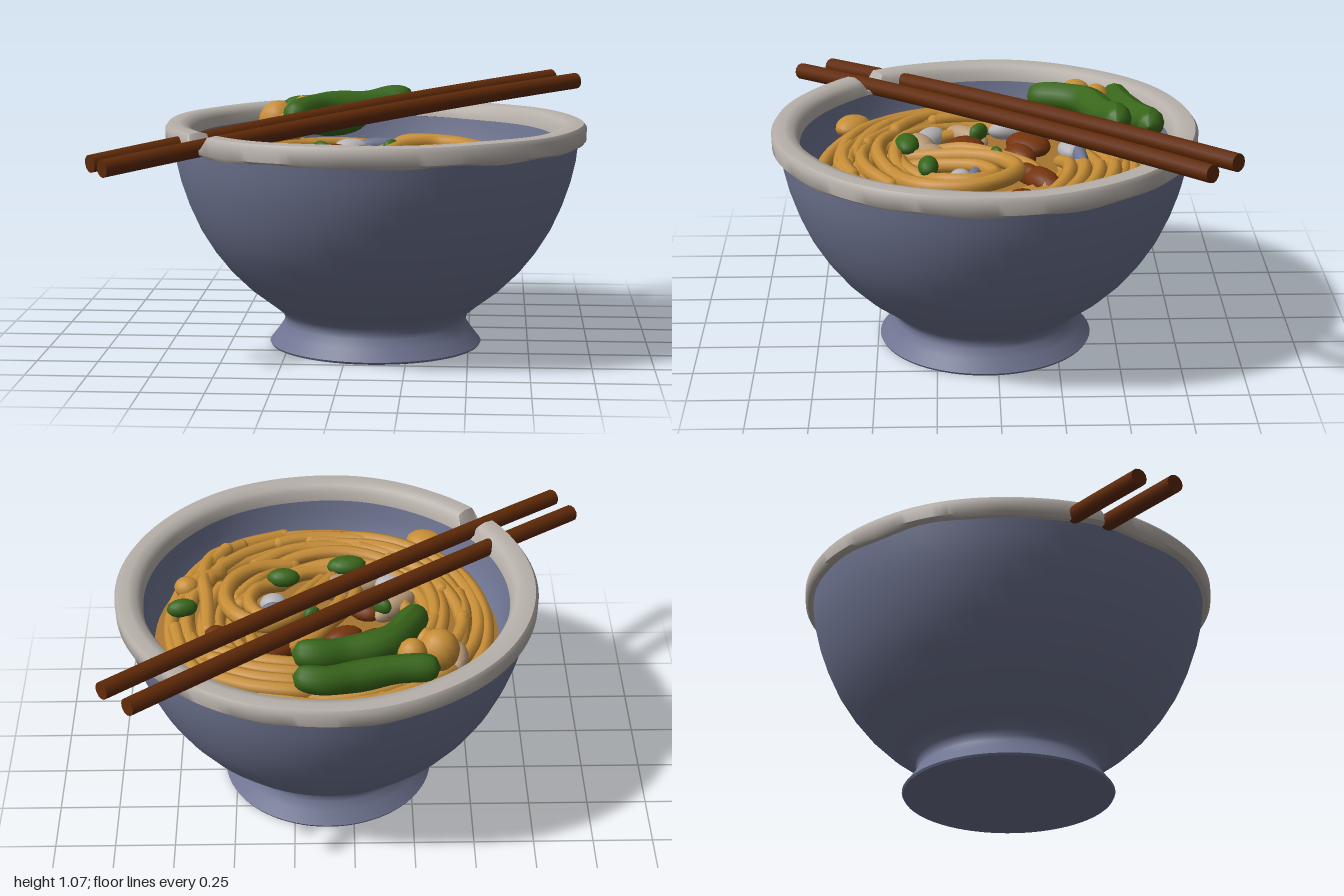
import * as THREE from 'three';
import { toCreasedNormals } from 'three/addons/utils/BufferGeometryUtils.js';

const CX = 0.107, CZ = 0.047; // bowl axis

const mat = (name, color) => {
  const m = new THREE.MeshStandardMaterial({ color });
  m.name = name;
  return m;
};

let seed = 7;
const rand = () => (seed = (seed * 16807) % 2147483647) / 2147483647;

export function createModel() {
  const glaze = mat('blueGlaze', 0x6f7592);
  const rimGlaze = mat('paleRim', 0xb7b0aa);
  const wood = mat('redWood', 0x602a08);
  const noodleMat = mat('noodle', 0xc68d36);
  const brothMat = mat('broth', 0xa87630);
  const greenMat = mat('greenVegetable', 0x38661a);
  const meatMat = mat('meat', 0x74340e);
  const paleMat = mat('paleOnion', 0xb4b2b6);
  const tanMat = mat('tanMushroom', 0xb89a78);

  const model = new THREE.Group();
  model.name = 'noodleBowl';
  const add = (geo, material, name, parent = model) => {
    const mesh = new THREE.Mesh(geo, material);
    mesh.name = name;
    parent.add(mesh);
    return mesh;
  };
  const group = (name) => {
    const g = new THREE.Group();
    g.name = name;
    model.add(g);
    return g;
  };
  const lathe = (pts, n) => new THREE.LatheGeometry(pts.map(([r, y]) => new THREE.Vector2(r, y)), n);

  // Bowl: flat foot, pinched neck, round body and inner wall
  const body = lathe([
    [0, 0.003], [0.44, 0.003], [0.445, 0.012], [0.408, 0.06], [0.385, 0.095], [0.381, 0.115], [0.392, 0.14], [0.435, 0.175],
    [0.53, 0.247], [0.61, 0.325], [0.677, 0.41], [0.733, 0.5], [0.778, 0.6], [0.812, 0.7], [0.833, 0.79],
    [0.842, 0.868], [0.79, 0.88], [0.768, 0.878], [0.755, 0.8], [0.725, 0.7], [0.67, 0.62],
  ], 72);
  add(toCreasedNormals(body, 0.9), glaze, 'bowlBody').position.set(CX, 0, CZ);

  // Rim band, slightly uneven, dented where the front chopstick rests
  const rim = lathe([
    [0.825, 0.862], [0.862, 0.861], [0.874, 0.873], [0.876, 0.925], [0.864, 0.942],
    [0.82, 0.947], [0.785, 0.938], [0.768, 0.915], [0.76, 0.875], [0.825, 0.862],
  ], 160);
  const p = rim.attributes.position;
  for (let i = 0; i < p.count; i++) {
    const x = p.getX(i), z = p.getZ(i), a = Math.atan2(z, x);
    let y = p.getY(i) + 0.003 * Math.sin(5 * a) * Math.cos(3 * a);
    if (y < 0.87) y -= 0.003 * (Math.sin(9 * a) + Math.sin(14 * a + 1));
    const wx = x + CX, wz = z + CZ;
    const away = Math.abs((wx + 0.89) * 0.666 + (wz - 0.86) * 0.746);
    if (wx < -0.3 && wz > 0.3 && away < 0.05) y = Math.min(y, 0.89);
    p.setY(i, y);
  }
  add(toCreasedNormals(rim, 0.8), rimGlaze, 'bowlRim').position.set(CX, 0, CZ);

  // Chopsticks, very slightly bowed
  const sticks = group('chopsticks');
  [[[-0.975, 0.848, 0.73], [0.862, 1.035, -0.9]], [[-0.905, 0.848, 0.862], [0.968, 1.03, -0.79]]].forEach(([a, b], i) => {
    const A = new THREE.Vector3(...a), B = new THREE.Vector3(...b), len = A.distanceTo(B);
    const geo = new THREE.CylinderGeometry(0.036, 0.036, len, 12, 10).rotateX(Math.PI / 2);
    const pos = geo.attributes.position;
    for (let k = 0; k < pos.count; k++) pos.setY(k, pos.getY(k) + 0.016 * (1 - (2 * pos.getZ(k) / len) ** 2));
    const stick = add(geo, wood, 'chopstick' + (i + 1), sticks);
    stick.position.copy(A).add(B).multiplyScalar(0.5);
    stick.lookAt(B);
  });

  // Broth, a low mound under the noodles
  add(lathe([[0.74, 0.69], [0.6, 0.725], [0.3, 0.745], [0, 0.745]], 48), brothMat, 'broth').position.set(CX, 0, CZ);

  // Noodles
  const noodles = group('noodles');
  const strand = (pts, r = 0.031) => {
    const curve = new THREE.CatmullRomCurve3(pts.map((q) => new THREE.Vector3(...q)));
    add(new THREE.TubeGeometry(curve, pts.length * 5, r, 8), noodleMat, 'noodle', noodles);
    [0, pts.length - 1].forEach((k) =>
      add(new THREE.SphereGeometry(r, 8, 6), noodleMat, 'noodleEnd', noodles).position.set(...pts[k]));
  };
  // coil: radius, start and end angle (0 = +x, quarter turn = front), height, end radius
  const coil = (r, a0, a1, y, r1 = r) => {
    const n = Math.max(6, Math.ceil((a1 - a0) * 3)), ph = rand() * 6, pts = [];
    for (let i = 0; i <= n; i++) {
      const a = a0 + ((a1 - a0) * i) / n;
      const q = r + ((r1 - r) * i) / n + 0.018 * Math.sin(2 * a + ph);
      const h = y + 0.015 * Math.sin(3 * a + ph) + 0.02 * Math.cos(a - 2.3);
      pts.push([CX + q * Math.cos(a), h, CZ + q * Math.sin(a)]);
    }
    strand(pts);
  };
  coil(0.68, 0.9, 5.6, 0.74, 0.65);
  coil(0.65, -1.9, 1.3, 0.735, 0.68);
  coil(0.615, 0.2, 6.2, 0.76);
  coil(0.55, 0.5, 6.6, 0.77, 0.57);
  coil(0.49, 0.9, 5.9, 0.77, 0.51);
  coil(0.43, 0.4, 4.0, 0.78, 0.46);
  coil(0.37, 0.3, 3.5, 0.77, 0.41);
  coil(0.32, 0.9, 3.0, 0.755, 0.35);
  coil(0.44, 4.3, 6.9, 0.765, 0.49);
  coil(0.37, 4.5, 6.6, 0.76, 0.4);
  coil(0.31, 4.7, 6.2, 0.75, 0.34);
  // loose short strands crossing the coils
  for (let i = 0; i < 18; i++) {
    const a = rand() * 6.28, r = 0.42 + rand() * 0.17;
    coil(r, a, a + 0.8 + rand() * 0.6, 0.755 + rand() * 0.035, r + (rand() - 0.4) * 0.16);
  }
  // big curl and inner loops on top
  strand([[0.03, 0.76, 0.44], [0.1, 0.79, 0.28], [0.17, 0.82, 0.12], [0.25, 0.83, -0.02], [0.36, 0.83, -0.08],
    [0.47, 0.83, -0.02], [0.53, 0.82, 0.12], [0.5, 0.81, 0.28], [0.4, 0.8, 0.38], [0.25, 0.78, 0.43]], 0.035);
  strand([[0.13, 0.76, 0.34], [0.2, 0.79, 0.2], [0.28, 0.81, 0.06], [0.37, 0.81, 0.01], [0.43, 0.81, 0.1],
    [0.4, 0.8, 0.22], [0.3, 0.77, 0.3]]);
  strand([[0.6, 0.78, -0.05], [0.61, 0.8, 0.15], [0.63, 0.8, 0.32], [0.6, 0.79, 0.48], [0.48, 0.77, 0.6]], 0.033);
  strand([[-0.02, 0.76, 0.3], [0, 0.79, 0.14], [0.1, 0.79, -0.02], [0.2, 0.78, -0.14], [0.4, 0.77, -0.2]]);
  strand([[0.7, 0.78, 0.24], [0.65, 0.8, 0.3], [0.57, 0.79, 0.36], [0.56, 0.77, 0.52]], 0.033);
  // strands running across the back half
  for (let i = 0; i < 4; i++) {
    const z = -0.3 - 0.06 * i;
    strand([[0.06 + 0.03 * i, 0.75, z + 0.03], [0.2, 0.785, z], [0.4, 0.79, z + 0.03], [0.58, 0.77, z + 0.13]]);
  }
  strand([[0.04, 0.76, 0.2], [0.09, 0.775, 0.08], [0.18, 0.78, 0], [0.24, 0.77, -0.12]]);

  // Soft lumps: position, radii, turn about y
  const lump = (parent, material, name, [x, y, z], [a, b, c], turn = 0) => {
    const m = add(new THREE.SphereGeometry(1, 14, 10), material, name, parent);
    m.position.set(x, y, z);
    m.scale.set(a, b, c);
    m.rotation.y = turn;
  };

  // Long green vegetables: tubes with blunt, rounded ends
  const greens = group('greens');
  const pod = (pts, r, name) => {
    const curve = new THREE.CatmullRomCurve3(pts.map((q) => new THREE.Vector3(...q)));
    const geo = new THREE.TubeGeometry(curve, 32, r, 12);
    const pos = geo.attributes.position, c = new THREE.Vector3(), v = new THREE.Vector3();
    for (let i = 0; i < pos.count; i++) {
      const t = Math.floor(i / 13) / 32;
      curve.getPointAt(t, c);
      const k = Math.sqrt(Math.max(0, 1 - Math.pow(Math.abs(2 * t - 1), 8))) * (0.97 + 0.05 * Math.cos(t * 12));
      v.fromBufferAttribute(pos, i).sub(c).multiplyScalar(k).add(c);
      pos.setXYZ(i, v.x, v.y, v.z);
    }
    geo.computeVertexNormals();
    add(geo, greenMat, name, greens);
  };
  pod([[-0.34, 0.92, -0.51], [-0.18, 0.93, -0.53], [0, 0.93, -0.58], [0.13, 0.95, -0.63], [0.245, 0.965, -0.615]], 0.063, 'longGreenBack');
  pod([[-0.27, 0.93, -0.14], [-0.215, 0.945, -0.26], [-0.13, 0.95, -0.38], [0.04, 0.95, -0.45], [0.15, 0.975, -0.49], [0.25, 0.98, -0.485]], 0.068, 'longGreenFront');
  lump(greens, greenMat, 'greenUnderside', [-0.1, 0.89, -0.4], [0.17, 0.07, 0.06], 0.5);
  [[0.71, 0.06, 0.065, 0.2], [0.29, 0.28, 0.07, 0], [0.02, 0.37, 0.085, 0.1], [-0.12, 0.07, 0.05, -0.7], [0.17, 0, 0.04, 0.5]]
    .forEach(([x, z, s, turn]) => lump(greens, greenMat, 'greenBit', [x, 0.82, z], [s, 0.04, s * 0.6], turn));

  // Golden pieces beside the greens and at the front left
  const golden = group('goldenPieces');
  lump(golden, noodleMat, 'goldenPiece', [-0.34, 0.89, -0.35], [0.085, 0.09, 0.08]);
  lump(golden, noodleMat, 'goldenPiece', [-0.23, 0.93, -0.43], [0.06, 0.065, 0.06]);
  lump(golden, noodleMat, 'goldenPiece', [-0.29, 0.86, -0.28], [0.06, 0.08, 0.06]);
  lump(golden, noodleMat, 'goldenPiece', [-0.33, 0.78, 0.61], [0.09, 0.045, 0.075], -0.5);
  lump(golden, noodleMat, 'goldenPiece', [0.7, 0.79, 0.26], [0.055, 0.045, 0.05]);

  // Meat, onion and mushroom pieces in the middle
  const toppings = group('toppings');
  [[-0.1, -0.14, 0.11, 0.09], [0.04, -0.1, 0.09, 0.06], [0.33, -0.18, 0.12, 0.06], [0.56, -0.09, 0.06, 0.07], [-0.06, 0.13, 0.08, 0.09], [0.27, -0.13, 0.08, 0.04]]
    .forEach(([x, z, a, c]) => lump(toppings, meatMat, 'meatPiece', [x, 0.77, z], [a, 0.05, c], 0.5));
  [[-0.28, -0.08, 0.045, 0.11, 0.2], [-0.02, -0.32, 0.08, 0.06, 0.1], [-0.17, 0.28, 0.1, 0.06, -0.5], [0.33, 0.15, 0.06, 0.05, 0]]
    .forEach(([x, z, a, c, t]) => lump(toppings, paleMat, 'onionPiece', [x, 0.775, z], [a, 0.045, c], t));
  [[-0.18, 0.12, 0.12, 0.045, 0.8], [-0.42, -0.24, 0.05, 0.09, 0], [0.06, 0.27, 0.1, 0.07, 0.2], [-0.08, 0.32, 0.1, 0.06, 0.4]]
    .forEach(([x, z, a, c, t]) => lump(toppings, tanMat, 'mushroomPiece', [x, 0.775, z], [a, 0.05, c], t));
  // bluish slivers
  [[0.1, -0.35, 0.11, 0.03, 0.1], [0.31, 0.09, 0.07, 0.03, -0.2]]
    .forEach(([x, z, a, c, t]) => lump(toppings, glaze, 'blueSliver', [x, 0.785, z], [a, 0.035, c], t));

  return model;
}
